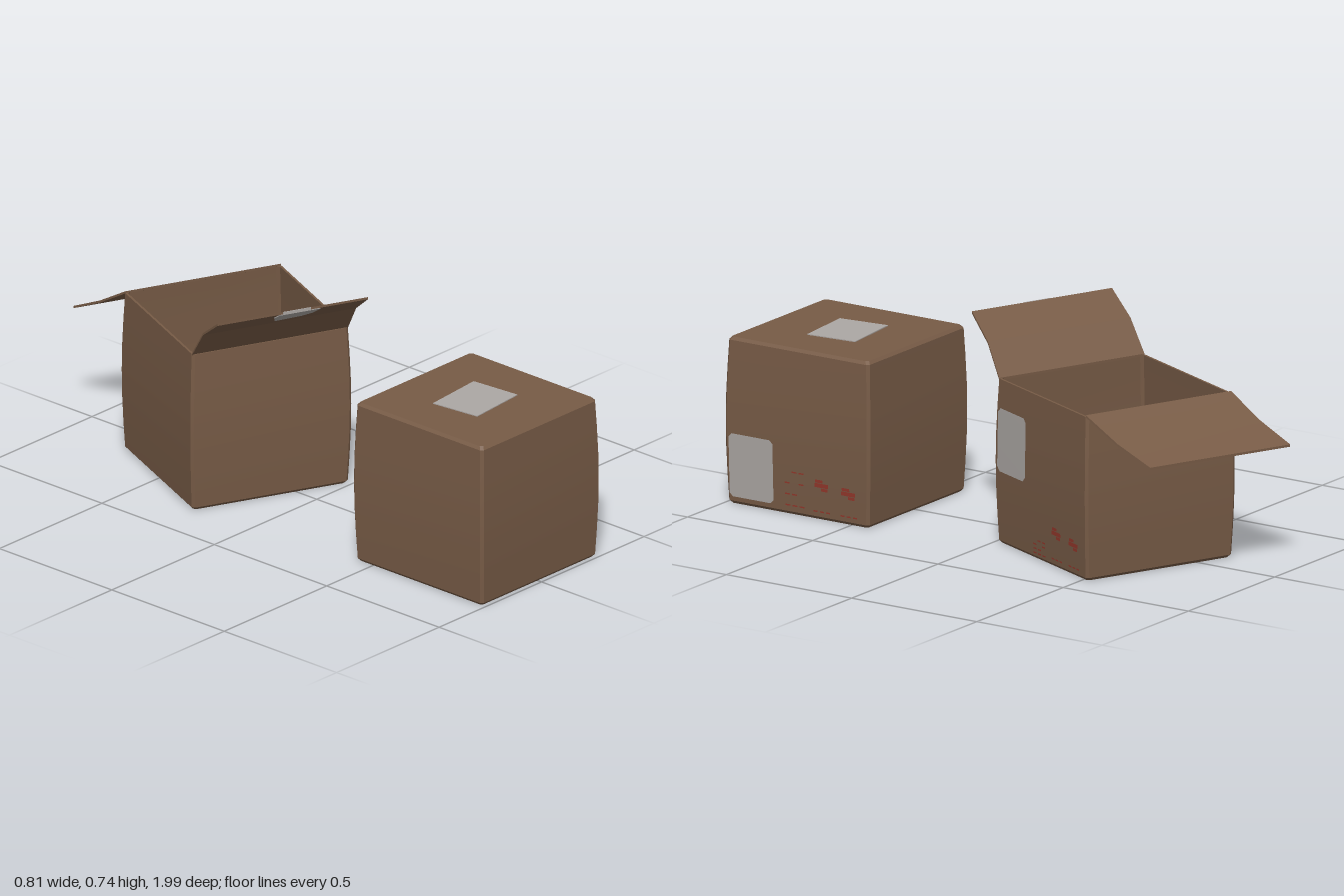
import * as THREE from 'three';
import { mergeGeometries, toCreasedNormals } from 'three/addons/utils/BufferGeometryUtils.js';

const H = 0.568; // box height
const half = (y) => 0.28 + 0.009 * Math.sin(Math.PI * y / H); // bulging half width

// Skin a row of rings (equal point counts, CCW seen from the far end) and cap both ends
function loft(rings) {
  const pos = [];
  const tri = (a, b, c) => pos.push(...a, ...b, ...c);
  const n = rings[0].length;
  for (let i = 0; i < rings.length - 1; i++) {
    for (let j = 0; j < n; j++) {
      const k = (j + 1) % n, p = rings[i], q = rings[i + 1];
      tri(p[j], p[k], q[k]);
      tri(p[j], q[k], q[j]);
    }
  }
  const first = rings[0], last = rings[rings.length - 1];
  for (let j = 1; j < n - 1; j++) {
    tri(first[0], first[j + 1], first[j]);
    tri(last[0], last[j], last[j + 1]);
  }
  const g = new THREE.BufferGeometry();
  g.setAttribute('position', new THREE.Float32BufferAttribute(pos, 3));
  return toCreasedNormals(g, 0.15);
}

// Square ring with small chamfered corners
function ring(y, h, c = 0.009) {
  const k = h - c;
  return [[h, k], [h, -k], [k, -h], [-k, -h], [-h, -k], [-h, k], [-k, h], [k, h]]
    .map(([x, z]) => [x, y, z]);
}

// Thin plate over four points listed CCW from above
const plate = (pts, t) => loft([pts, pts.map(([x, y, z]) => [x, y + t, z])]);

// Patch lying on the bulging +x wall, with cut corners
function wallPatch(z0, z1, y0, y1, cut, lift) {
  const s = new THREE.Shape([
    [-z1 + cut, y0], [-z0 - cut, y0], [-z0, y0 + cut], [-z0, y1 - cut],
    [-z0 - cut, y1], [-z1 + cut, y1], [-z1, y1 - cut], [-z1, y0 + cut],
  ].map(([u, v]) => new THREE.Vector2(u, v)));
  const g = new THREE.ShapeGeometry(s);
  g.rotateY(Math.PI / 2);
  const p = g.attributes.position;
  for (let i = 0; i < p.count; i++) p.setX(i, half(p.getY(i)) + lift);
  g.computeVertexNormals();
  return g;
}

// Printed handling marks: a sketchy block, two solid icons and a dashed underline
function printGeometry(zs, blockY) {
  const parts = [];
  const bar = (z, y, w, h) => parts.push(wallPatch(z - w / 2, z + w / 2, y, y + h, 0.0008, 0.003));
  const [a, b, c] = zs;
  for (let r = 0; r < 4; r++) {
    for (let k = 0; k < 3; k++) {
      if ((r + k) % 4 !== 3) bar(a + 0.028 * (1 - k), blockY[0] + (blockY[1] - blockY[0]) * r / 3, 0.02, 0.005);
    }
  }
  for (const [z, y] of [[b, 0.112], [c, 0.1]]) {
    bar(z, y, 0.055, 0.014);
    bar(z + 0.01, y + 0.016, 0.03, 0.01);
    bar(z - 0.012, y - 0.012, 0.025, 0.01);
    for (let k = -1; k <= 1; k++) bar(z + k * 0.025, 0.026, 0.016, 0.005);
  }
  return mergeGeometries(parts);
}

// Flap growing towards +z; each station is [reach, height, sideways shift, half width]
function flapGeometry(stations, t = 0.008) {
  return loft(stations.map(([r, y, s, w]) => [
    [s - w, y - t, r], [s + w, y - t, r], [s + w, y, r], [s - w, y, r],
  ]));
}

export function createModel() {
  const model = new THREE.Group();
  const material = (name, color) => Object.assign(new THREE.MeshStandardMaterial({ color }), { name });
  const cardboard = material('cardboard brown', 0x775b46);
  const paper = material('label grey', 0xaca7a4);
  const ink = material('print red', 0x93382b);
  const add = (parent, name, geometry, mat) => {
    const m = new THREE.Mesh(geometry, mat);
    m.name = name;
    parent.add(m);
    return m;
  };
  const group = (name) => {
    const g = new THREE.Group();
    g.name = name;
    model.add(g);
    return g;
  };

  // Outer wall rings shared by both boxes
  const outer = (top) => {
    const rings = [ring(0, 0.272)];
    for (let i = 0; i <= 6; i++) {
      const y = 0.01 + (top - 0.01) * i / 6;
      rings.push(ring(y, half(y)));
    }
    return rings;
  };

  // Closed box
  const closed = group('closedBox');
  closed.position.z = 0.71;
  add(closed, 'closedCarton', loft([...outer(0.558), ring(H, 0.272)]), cardboard);
  add(closed, 'closedSideLabel', wallPatch(0.095, 0.27, 0.026, 0.243, 0.012, 0.003), paper);
  add(closed, 'closedPrint', printGeometry([0.01, -0.098, -0.205], [0.03, 0.145]), ink);
  add(closed, 'topLabel', plate([
    [-0.1, H, 0.095], [0.118, H, 0.075], [0.102, H, -0.105], [-0.12, H, -0.083],
  ], 0.003), paper);

  // Open box: outer walls, rim, inner walls and floor in one skin
  const open = group('openBox');
  open.position.set(0.025, 0, -0.38);
  open.rotation.y = -0.417;
  const inner = [0.56, 0.42, 0.285, 0.15, 0.01].map((y) => ring(y, half(y) - 0.008));
  add(open, 'openCarton', loft([...outer(0.56), ...inner]), cardboard);
  add(open, 'openSideLabel', wallPatch(0.092, 0.266, 0.25, 0.465, 0.015, 0.003), paper);
  add(open, 'openPrint', printGeometry([0.012, -0.098, -0.205], [0.02, 0.065]), ink);

  // Raised front flap and drooping back flap
  const mid = [0.352, 0.667], end = [0.46, 0.743];
  add(open, 'frontFlap', flapGeometry([
    [0.272, 0.562, 0, 0.28], [...mid, 0, 0.275], [...end, 0, 0.27],
  ]), cardboard);
  add(open, 'backFlap', flapGeometry([
    [0.272, 0.566, 0, 0.28], [0.395, 0.49, 0.042, 0.275], [0.514, 0.43, 0.09, 0.27],
  ]), cardboard).rotation.y = Math.PI;

  // Label folded over the underside and end of the front flap
  const under = (x, t) => [
    x, mid[1] + (end[1] - mid[1]) * t - 0.011, mid[0] + (end[0] - mid[0]) * t,
  ];
  add(open, 'flapLabel', plate([
    under(-0.046, 1), under(0.1, 1), under(0.092, 0.6), under(0.06, 0.42), under(-0.033, 0.33), under(-0.055, 0.75),
  ], 0.004), paper);
  const fold = add(open, 'flapLabelFold', new THREE.BoxGeometry(0.1, 0.009, 0.003), paper);
  fold.position.set(0.015, end[1] - 0.004, end[0] + 0.001);

  return model;
}
